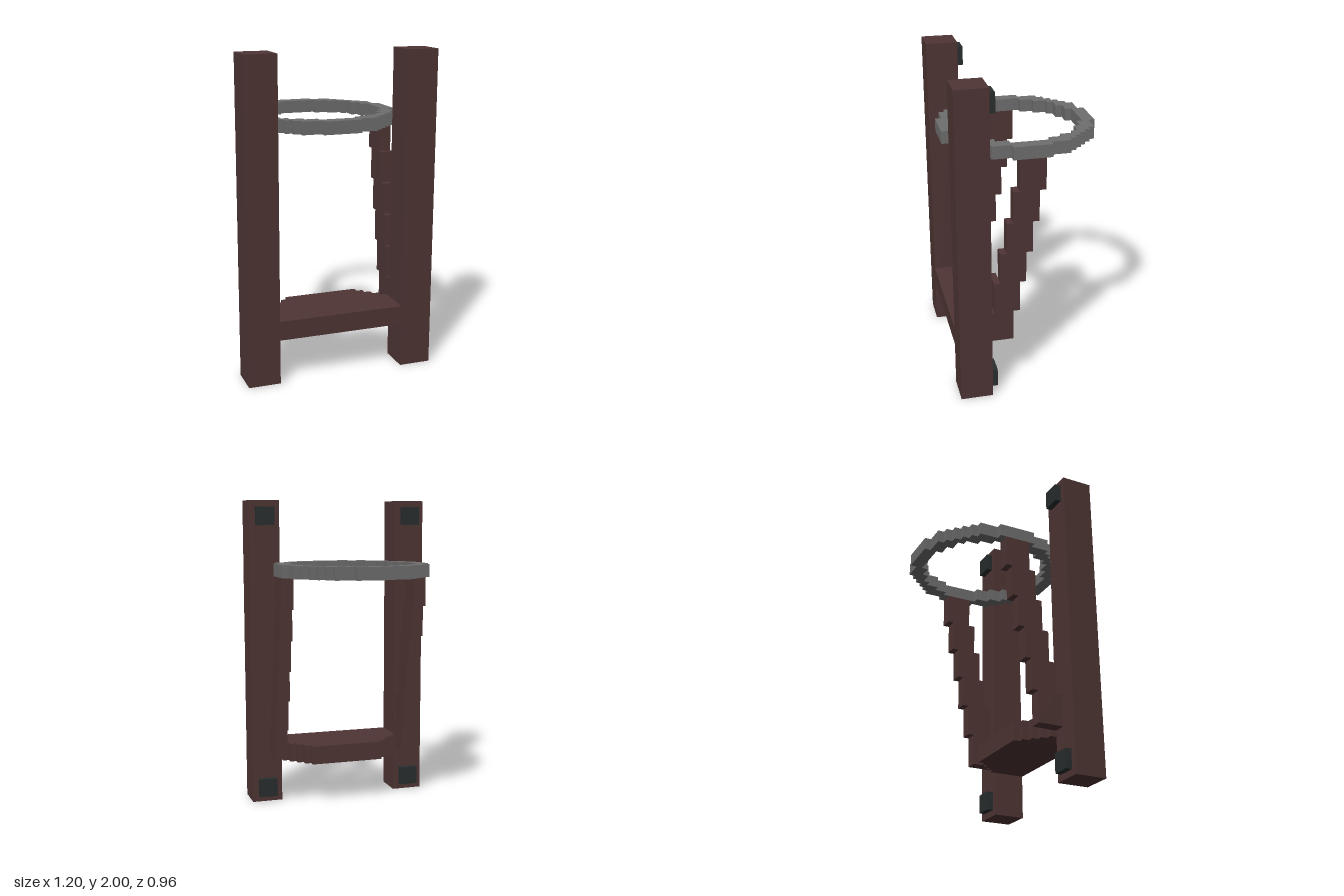
import * as THREE from 'three';

const U = 0.04; // size of one block step

export function createModel() {
  const wood = new THREE.MeshStandardMaterial({ color: 0x4e3534 });
  wood.name = 'dark wood';
  const metal = new THREE.MeshStandardMaterial({ color: 0x6e6e6e });
  metal.name = 'grey metal';
  const iron = new THREE.MeshStandardMaterial({ color: 0x2a2e2e });
  iron.name = 'black iron';

  const model = new THREE.Group();
  model.name = 'ringStand';

  function add(name, geometry, material) {
    const mesh = new THREE.Mesh(geometry, material);
    mesh.name = name;
    model.add(mesh);
    return mesh;
  }

  // Box given by its limits on each axis
  function box(name, material, [x0, x1], [y0, y1], [z0, z1]) {
    add(name, new THREE.BoxGeometry(x1 - x0, y1 - y0, z1 - z0), material)
      .position.set((x0 + x1) / 2, (y0 + y1) / 2, (z0 + z1) / 2);
  }

  // Horizontal slab from a plan outline (x, z), extruded down from the top
  function slab(name, material, shape, top, height) {
    const geometry = new THREE.ExtrudeGeometry(shape, { depth: height, bevelEnabled: false });
    geometry.rotateX(Math.PI / 2);
    add(name, geometry, material).position.y = top;
  }

  // Stepped circle: one quadrant of block corners, turned four times
  function steppedCircle(radius) {
    const quadrant = [];
    let last = radius;
    quadrant.push([radius, 0]);
    for (let row = 1; row < radius; row++) {
      const half = Math.round(Math.sqrt(radius ** 2 - (row + 0.5) ** 2));
      if (half !== last) quadrant.push([last, row], [half, row]);
      last = half;
    }
    quadrant.push([last, radius]);
    const points = [];
    for (let turn = 0; turn < 4; turn++) {
      const c = [1, 0, -1, 0][turn], s = [0, 1, 0, -1][turn];
      for (const [x, y] of quadrant) {
        points.push(new THREE.Vector2((x * c - y * s) * U, (x * s + y * c) * U));
      }
    }
    return points;
  }

  // Ring
  const ring = new THREE.Shape(steppedCircle(12));
  ring.holes.push(new THREE.Path(steppedCircle(10)));
  slab('ring', metal, ring, 1.6, 0.08);

  // Shelf with stepped rear corners
  const rear = [[0.4, 0.48], [0.4, 0.24], [0.36, 0.24], [0.36, 0.2], [0.32, 0.2], [0.32, 0.16],
    [0.28, 0.16], [0.28, 0.12], [0.24, 0.12], [0.24, 0.08]];
  const outline = [...rear, ...rear.map(([x, z]) => [-x, z]).reverse()];
  slab('shelf', wood, new THREE.Shape(outline.map(([x, z]) => new THREE.Vector2(x, z))), 0.4, 0.12);

  for (const side of [1, -1]) {
    const label = side > 0 ? 'left' : 'right';
    const span = (a, b) => (side > 0 ? [a, b] : [-b, -a]);

    // Upright post
    box(label + 'Post', wood, span(0.4, 0.6), [0, 2], [0.28, 0.48]);

    // Mounting pads behind the post
    box(label + 'LowerPad', iron, span(0.44, 0.56), [0.04, 0.16], [0.24, 0.28]);
    box(label + 'UpperPad', iron, span(0.44, 0.56), [1.84, 1.96], [0.24, 0.28]);

    // Leaning brace, one profile stepping back as it rises
    const front = [], back = [];
    for (let i = 0; i < 6; i++) {
      const z = 0.12 - i * U, y = 0.32 + i * 0.2;
      back.push([z, y], [z, y + 0.2]);
      front.push([z + 0.16, y], [z + 0.16, y + 0.2]);
    }
    const profile = [...back, ...front.reverse()].map(([z, y]) => new THREE.Vector2(-z, y));
    const brace = new THREE.ExtrudeGeometry(new THREE.Shape(profile), { depth: 0.08, bevelEnabled: false });
    brace.rotateY(Math.PI / 2);
    add(label + 'Brace', brace, wood).position.x = span(0.4, 0.48)[0];
  }

  return model;
}
